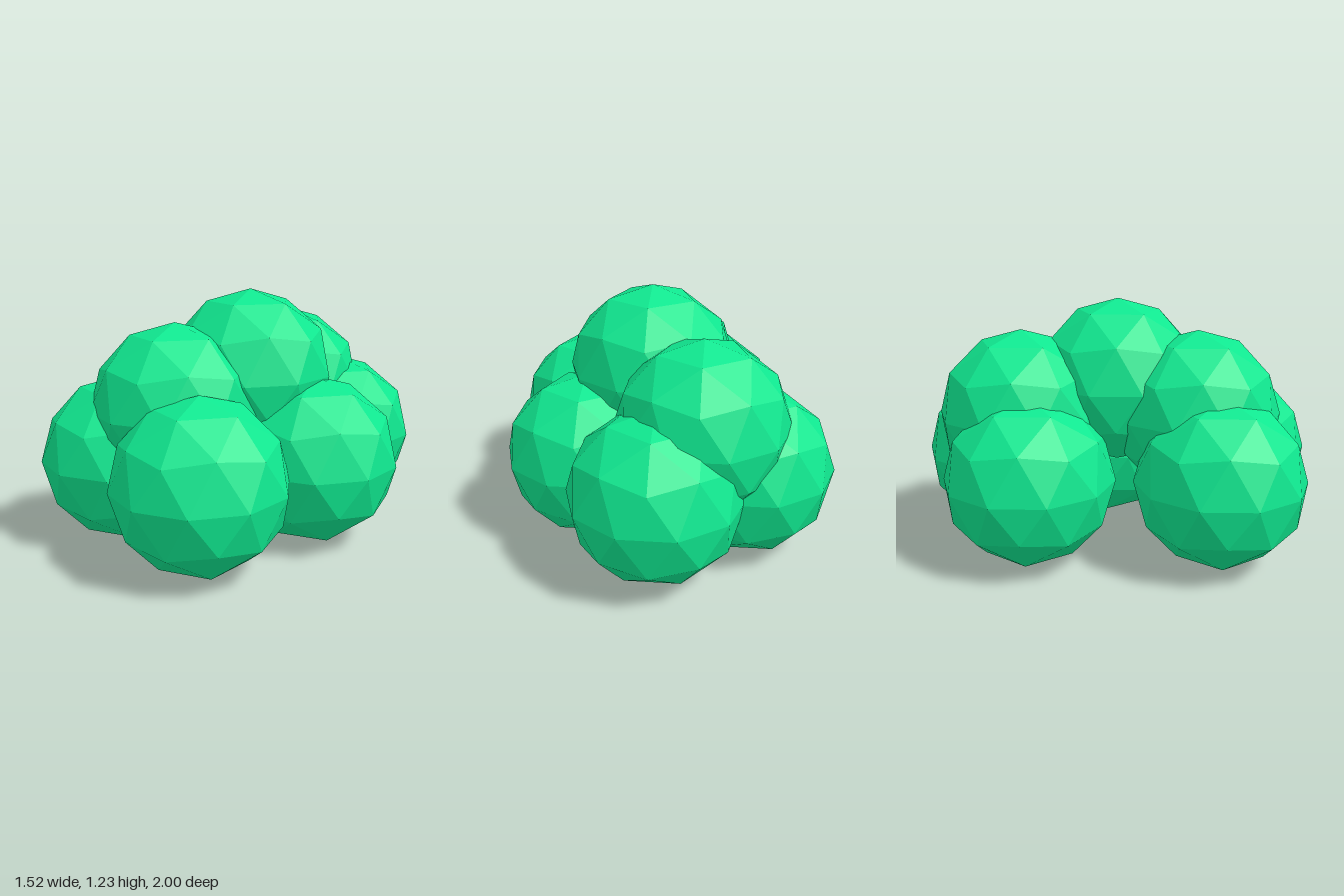
import * as THREE from 'three';

export function createModel() {
  const group = new THREE.Group();
  group.name = 'bush';
  const leaves = new THREE.MeshStandardMaterial({ color: 0x10e890, flatShading: true });

  // One faceted ball, turned so that a corner points straight up
  const ball = new THREE.IcosahedronGeometry(0.41, 1);
  ball.rotateZ(-Math.atan(2 / (1 + Math.sqrt(5))));

  // Centres of the foliage clumps
  const clumps = {
    frontRightClump: [-0.37, 0.41, 0.494],
    frontLeftClump: [0.224, 0.41, 0.588],
    middleLeftClump: [0.37, 0.41, -0.07],
    backLeftClump: [0.14, 0.417, -0.592],
    backRightClump: [-0.356, 0.41, -0.407],
    upperFrontClump: [-0.112, 0.677, 0.393],
    topClump: [0.025, 0.815, 0.003],
    upperBackClump: [-0.108, 0.677, -0.464],
  };
  for (const [name, centre] of Object.entries(clumps)) {
    const mesh = new THREE.Mesh(ball, leaves);
    mesh.name = name;
    mesh.position.set(...centre);
    group.add(mesh);
  }
  return group;
}
